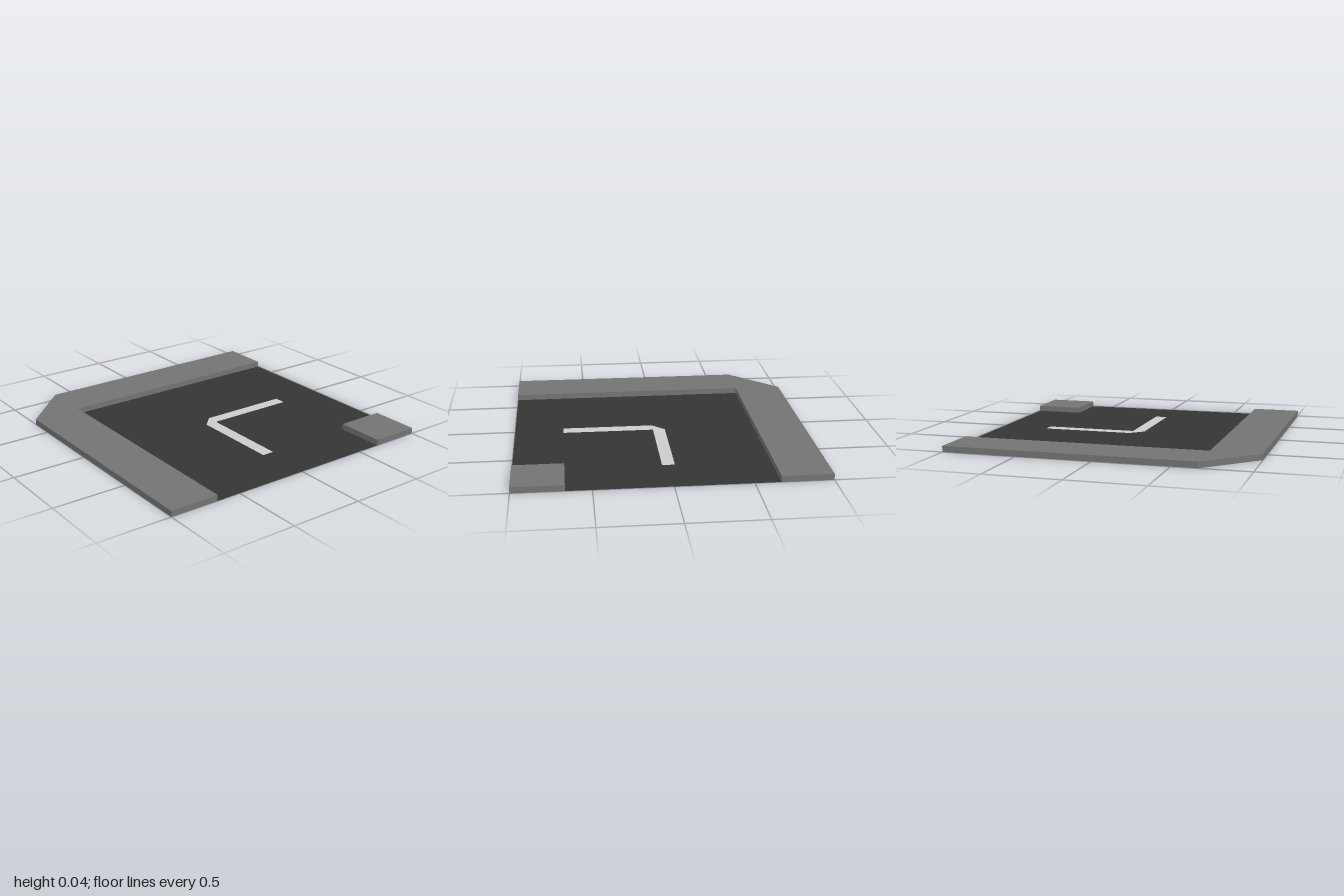
import * as THREE from 'three';
import { mergeGeometries } from 'three/addons/utils/BufferGeometryUtils.js';

const EDGE = 2 / 3;     // inner line of the pavement
const KERB = 0.04;      // pavement height
const LINE = 1 / 24;    // half width of the road marking

function makeMaterial(name, color) {
  const m = new THREE.MeshStandardMaterial({ color, side: THREE.DoubleSide });
  m.name = name;
  return m;
}

// Outlines are [x, z] pairs, counter-clockwise seen from above
const toPoints = (outline) => outline.map(([x, z]) => new THREE.Vector2(x, -z));

// Flat face lying level at height y
function flat(shape, y) {
  return new THREE.ShapeGeometry(shape).rotateX(-Math.PI / 2).translate(0, y, 0);
}

// Raised slab, open underneath: a top face and a wall along every edge
function shell(outline, height) {
  const top = flat(new THREE.Shape(toPoints(outline)), height).toNonIndexed();
  top.deleteAttribute('uv');
  const pos = [];
  outline.forEach(([ax, az], i) => {
    const [bx, bz] = outline[(i + 1) % outline.length];
    pos.push(ax, 0, az, bx, 0, bz, bx, height, bz);
    pos.push(ax, 0, az, bx, height, bz, ax, height, az);
  });
  const walls = new THREE.BufferGeometry();
  walls.setAttribute('position', new THREE.Float32BufferAttribute(pos, 3));
  walls.computeVertexNormals();
  return mergeGeometries([top, walls]);
}

export function createModel() {
  const group = new THREE.Group();
  group.name = 'roadCornerTile';

  const asphalt = makeMaterial('asphalt', 0x353535);
  const concrete = makeMaterial('concrete', 0x737373);
  const paint = makeMaterial('linePaint', 0xcccccc);

  const add = (name, geometry, material) => {
    const mesh = new THREE.Mesh(geometry, material);
    mesh.name = name;
    group.add(mesh);
  };

  // Bent centre line, set flush into the road
  const lineOutline = [
    [-LINE, EDGE], [LINE, EDGE], [LINE, LINE], [EDGE, LINE],
    [EDGE, -LINE], [LINE, -LINE], [-LINE, LINE],
  ];
  add('centreLine', flat(new THREE.Shape(toPoints(lineOutline)), 0), paint);

  // Road surface between the pavements
  const road = new THREE.Shape(toPoints([
    [-EDGE, 1], [EDGE, 1], [EDGE, EDGE], [1, EDGE], [1, -EDGE], [-EDGE, -EDGE],
  ]));
  road.holes.push(new THREE.Path(toPoints(lineOutline)));
  add('road', flat(road, 0), asphalt);

  // Outer pavement with the cut corner
  add('outerPavement', shell([
    [-1, 1], [-EDGE, 1], [-EDGE, -EDGE], [1, -EDGE],
    [1, -1], [-EDGE, -1], [-1, -EDGE],
  ], KERB), concrete);

  // Small square pavement on the inside of the bend
  add('innerPavement', shell([
    [EDGE, 1], [1, 1], [1, EDGE], [EDGE, EDGE],
  ], KERB), concrete);

  return group;
}
